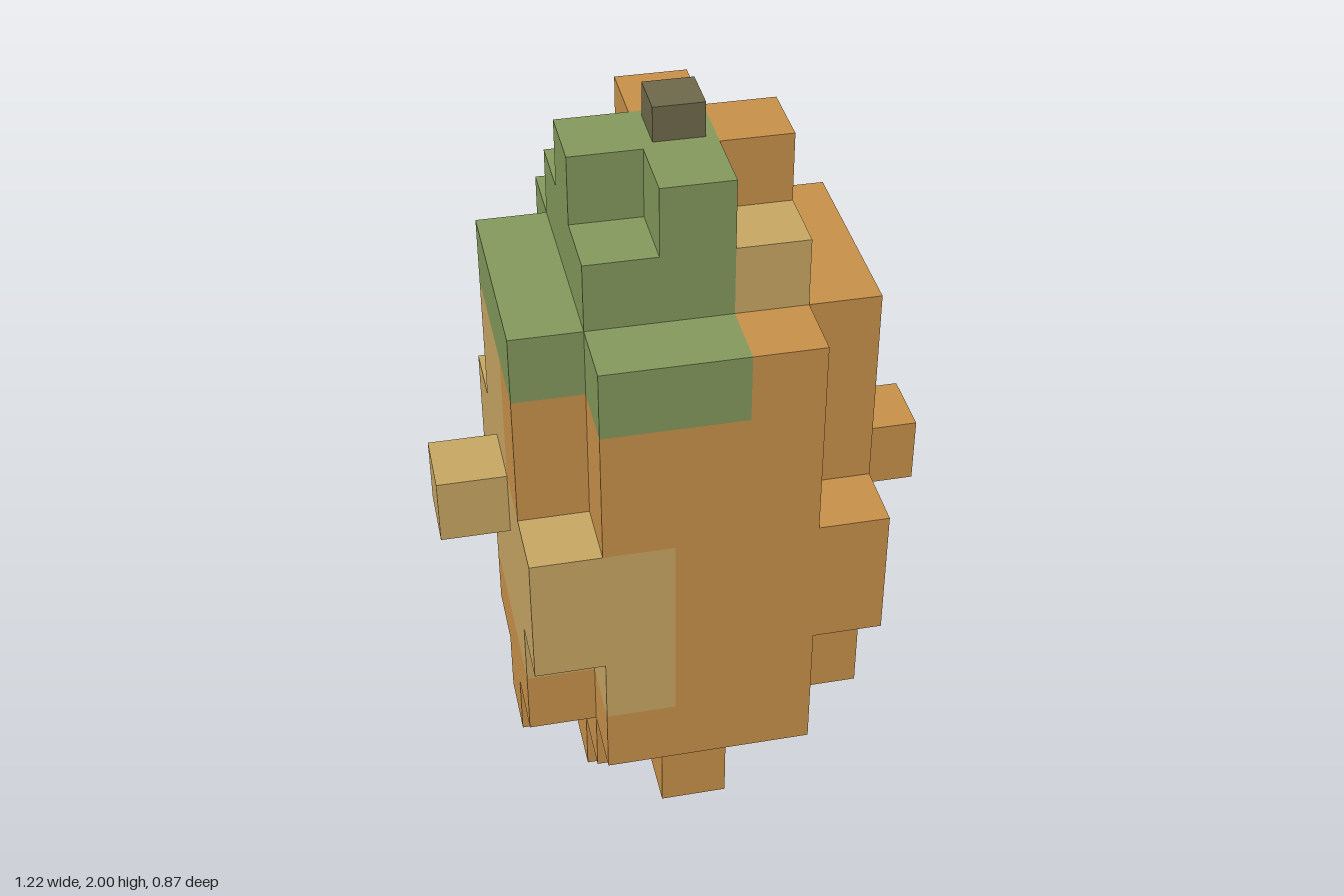
import * as THREE from 'three';
import { mergeGeometries } from 'three/addons/utils/BufferGeometryUtils.js';

const U = 2 / 11.5; // edge of one block

const material = (name, color) => {
  const m = new THREE.MeshStandardMaterial({ color });
  m.name = name;
  return m;
};

// Is there a block at column x, z (centred on 0) of this layer?
function filled(x, layer, z) {
  const ax = Math.abs(x), az = Math.abs(z);
  if (layer < 0 || layer > 10) return false;
  if (layer === 5 && ax === 3 && z === 0) return true;            // side nubs
  if (layer === 0 || layer === 10) return ax + az <= 1;           // plus-shaped ends
  if (layer === 1) return (ax <= 1 && az <= 1) || (ax === 2 && z === 0);
  if (layer === 9) return ax <= 1 && az <= 1;
  if (ax > 2 || az > 2) return false;
  return layer === 4 || layer === 5 || ax + az < 4;               // wide middle, cut corners elsewhere
}

// Colour patch each block belongs to
function patch(x, layer, z) {
  if (layer >= 8) {
    if (x < 0 || (x === 0 && z >= 0)) return 'green';
    return layer === 9 && x === 1 && z === 1 ? 'tan' : 'orange';
  }
  if (x === 3) return 'orange';
  if (layer >= 6) return x < 0 && z <= 0 ? 'tan' : 'orange';
  if (layer >= 3) return x < 0 || z <= 0 ? 'tan' : 'orange';
  return x >= 0 && z <= 0 ? 'tan' : 'orange';
}

// Outward directions with the rotation that turns a +z plane to face them
const SIDES = [
  [0, 0, 1, 0, 0], [0, 0, -1, 0, Math.PI],
  [1, 0, 0, 0, Math.PI / 2], [-1, 0, 0, 0, -Math.PI / 2],
  [0, 1, 0, -Math.PI / 2, 0], [0, -1, 0, Math.PI / 2, 0],
];

export function createModel() {
  const model = new THREE.Group();
  model.name = 'blockFruit';

  // Collect only the exposed block faces, sorted by patch
  const faces = { orange: [], tan: [], green: [] };
  for (let layer = 0; layer <= 10; layer++)
    for (let x = -3; x <= 3; x++)
      for (let z = -2; z <= 2; z++) {
        if (!filled(x, layer, z)) continue;
        for (const [dx, dy, dz, rx, ry] of SIDES) {
          if (filled(x + dx, layer + dy, z + dz)) continue;
          faces[patch(x, layer, z)].push(
            new THREE.PlaneGeometry(U, U).rotateX(rx).rotateY(ry).translate(
              (x + dx / 2) * U, (layer + 0.5 + dy / 2) * U, (z + dz / 2) * U));
        }
      }

  // Skin patches
  const skins = [
    ['orange', 'orangeSkin', 0xc8914a],
    ['tan', 'tanSkin', 0xc8a764],
    ['green', 'greenCrown', 0x84995c],
  ];
  for (const [key, name, color] of skins) {
    const mesh = new THREE.Mesh(mergeGeometries(faces[key]), material(key, color));
    mesh.name = name;
    model.add(mesh);
  }

  // Stem
  const stem = new THREE.Mesh(
    new THREE.BoxGeometry(0.7 * U, 0.5 * U, 0.7 * U), material('stemBrown', 0x6e694a));
  stem.position.y = 11.25 * U;
  stem.name = 'stem';
  model.add(stem);

  return model;
}
